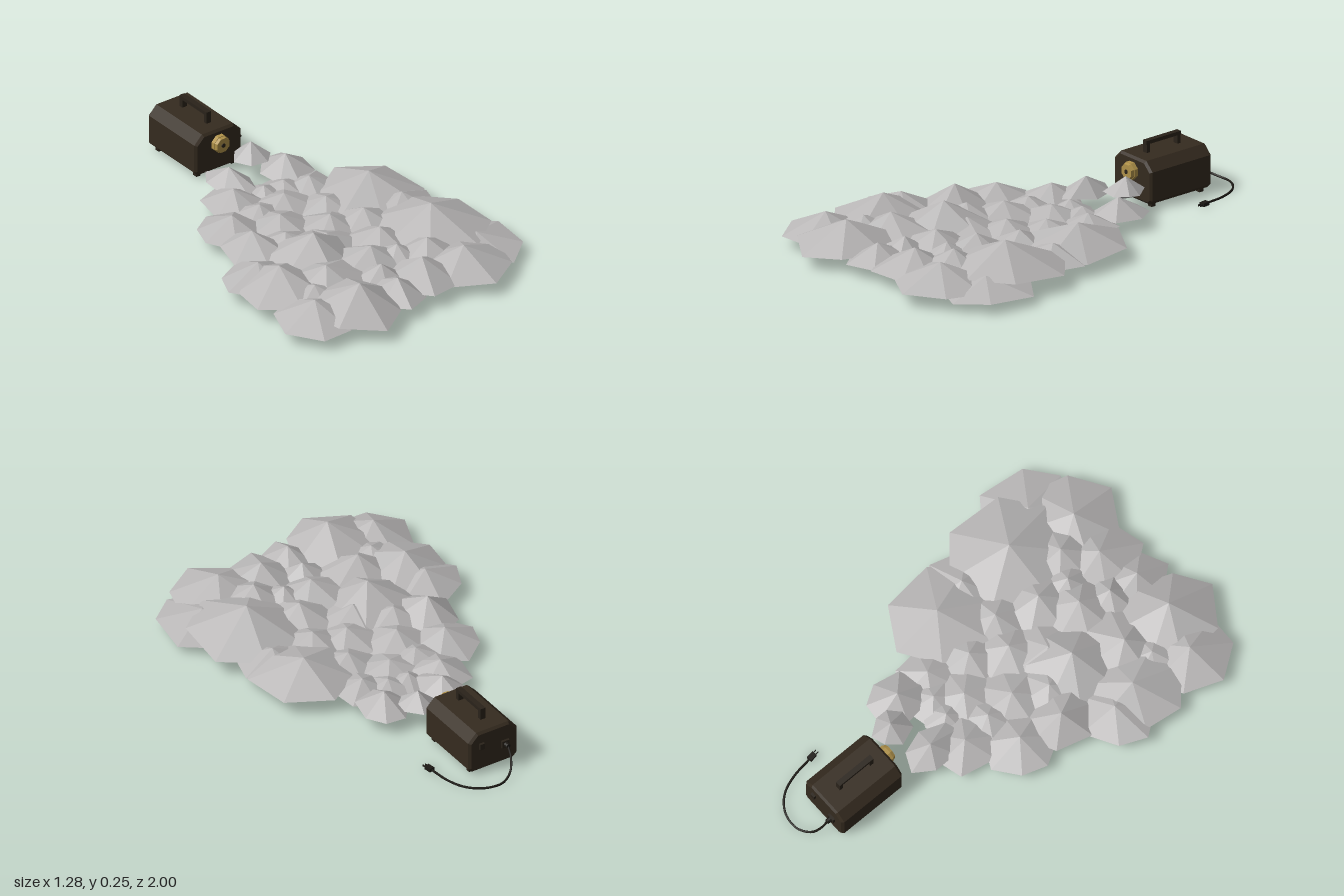
import * as THREE from 'three';

const mat = (name, color) => {
  const m = new THREE.MeshStandardMaterial({ color });
  m.name = name;
  return m;
};

function seeded(seed) {
  return () => {
    seed = (seed * 16807) % 2147483647;
    return seed / 2147483647;
  };
}

// One faceted fog puff: a peak, a jagged rim and a shallow pointed underside
function puffGeometry(rx, rz, y0, y1, degrees, rand) {
  const n = 7, h = y1 - y0, rim = [];
  for (let k = 0; k < n; k++) {
    const a = THREE.MathUtils.degToRad(degrees) + ((k + (k ? rand() - 0.5 : 0) * 0.35) / n) * Math.PI * 2;
    const r = k ? 0.9 + rand() * 0.12 : 1.04;
    rim.push([Math.cos(a) * r, y0 + h * (0.27 + rand() * 0.16), Math.sin(a) * r]);
  }
  // fit the rim to its exact width and depth
  for (const [axis, r] of [[0, rx], [2, rz]]) {
    const v = rim.map((p) => p[axis]);
    const lo = Math.min(...v), hi = Math.max(...v);
    for (const p of rim) p[axis] = ((p[axis] - lo) / (hi - lo) * 2 - 1) * r;
  }
  const peak = [(rand() - 0.5) * rx * 0.15, y1, (rand() - 0.5) * rz * 0.15];
  const base = [0, y0, 0], pos = [];
  rim.forEach((p, k) => {
    const q = rim[(k + 1) % n];
    pos.push(...peak, ...q, ...p, ...base, ...p, ...q);
  });
  const g = new THREE.BufferGeometry();
  g.setAttribute('position', new THREE.Float32BufferAttribute(pos, 3));
  g.computeVertexNormals();
  return g;
}

// Housing with wide top chamfers, small bottom chamfers and bevelled ends
function housingGeometry(w, y0, y1, top, bottom, depth, bevel) {
  const x = w - bevel, lo = y0 + bevel, hi = y1 - bevel;
  const s = new THREE.Shape();
  s.moveTo(-x + bottom, lo);
  s.lineTo(x - bottom, lo);
  s.lineTo(x, lo + bottom);
  s.lineTo(x, hi - top);
  s.lineTo(x - top, hi);
  s.lineTo(-x + top, hi);
  s.lineTo(-x, hi - top);
  s.lineTo(-x, lo + bottom);
  s.closePath();
  return new THREE.ExtrudeGeometry(s, {
    depth: depth - 2 * bevel, bevelEnabled: true, bevelSize: bevel, bevelThickness: bevel, bevelSegments: 1,
  }).translate(0, 0, -depth / 2 + bevel);
}

export function createModel() {
  const model = new THREE.Group();
  model.name = 'fogMachineWithFog';
  const fogMat = mat('fog grey', 0xb9b7b7);
  const bodyMat = mat('housing brown', 0x352b1f);
  const darkMat = mat('dark trim', 0x2a231a);
  const cordMat = mat('cord black', 0x1c1914);
  const brassMat = mat('brass', 0xb0924a);

  const add = (parent, name, geo, material, x = 0, y = 0, z = 0) => {
    const m = new THREE.Mesh(geo, material);
    m.name = name;
    m.position.set(x, y, z);
    parent.add(m);
    return m;
  };
  const box = (w, h, d) => new THREE.BoxGeometry(w, h, d);
  const tubeZ = (r1, r2, len, sides) => {
    const g = new THREE.CylinderGeometry(r1, r2, len, sides).rotateY(Math.PI / sides).rotateX(Math.PI / 2).toNonIndexed();
    g.computeVertexNormals();
    return g;
  };

  // Fog bank, outer puffs: x, z, half width, half depth, peak height, direction of the longest point
  const fog = new THREE.Group();
  fog.name = 'fogBank';
  model.add(fog);
  const outer = [
    [-0.28, 0.77, 0.2, 0.23, 0.175, 90], [-0.47, 0.72, 0.17, 0.18, 0.14, 170],
    [-0.44, 0.45, 0.18, 0.22, 0.16, 160], [-0.46, 0.33, 0.17, 0.17, 0.13, 172],
    [-0.33, 0.14, 0.14, 0.16, 0.15, 165], [-0.3, -0.07, 0.15, 0.155, 0.12, 268],
    [-0.16, -0.23, 0.125, 0.14, 0.115, 225], [-0.08, -0.355, 0.09, 0.135, 0.135, 255],
    [0.08, -0.435, 0.08, 0.085, 0.165, 285], [0.18, -0.32, 0.11, 0.125, 0.13, 300],
    [0.18, -0.15, 0.11, 0.13, 0.1, 320], [0.33, 0.05, 0.21, 0.24, 0.155, 270],
    [0.34, 0.44, 0.25, 0.26, 0.185, 335], [0.46, 0.63, 0.18, 0.21, 0.1, 334],
    [0.31, 0.76, 0.2, 0.2, 0.145, 88], [0.09, 0.73, 0.16, 0.17, 0.145, 110],
    [-0.07, 0.77, 0.12, 0.15, 0.13, 105], [0.38, 0.22, 0.16, 0.16, 0.12, 345],
  ];
  // Inner puffs: x, z, radius, peak height
  const inner = [
    [0.03, 0.18, 0.15, 0.115], [-0.13, 0.05, 0.16, 0.115], [0, -0.1, 0.15, 0.1],
    [-0.01, -0.21, 0.1, 0.09], [-0.17, 0.33, 0.19, 0.175], [-0.25, 0.53, 0.19, 0.15],
    [-0.02, 0.5, 0.17, 0.14], [0.11, 0.4, 0.16, 0.135], [0.18, 0.22, 0.15, 0.12],
    [0.13, 0.02, 0.15, 0.105], [-0.06, 0.64, 0.12, 0.13], [0.21, 0.6, 0.16, 0.145],
    [0.11, 0.55, 0.14, 0.125], [-0.2, 0.19, 0.16, 0.12], [-0.13, -0.09, 0.14, 0.1],
    [0.08, -0.2, 0.12, 0.09], [-0.37, 0.6, 0.16, 0.12], [-0.06, 0.28, 0.16, 0.12],
  ].map(([x, z, r, h], i) => [x, z, r, r, h, i * 77]);
  const rand = seeded(4711);
  for (const [x, z, rx, rz, h, degrees] of [...outer, ...inner]) {
    const y0 = 0.01 + Math.max(0, -z - 0.3) * 0.4;
    add(fog, 'fogPuff', puffGeometry(rx, rz, y0, h, degrees, rand), fogMat, x, 0, z);
  }

  // Housing
  const machine = new THREE.Group();
  machine.name = 'machine';
  model.add(machine);
  add(machine, 'housing', housingGeometry(0.12, 0.014, 0.201, 0.034, 0.012, 0.332, 0.01), bodyMat, 0, 0, -0.71);
  for (const x of [-0.09, 0.09])
    for (const z of [-0.575, -0.835])
      add(machine, 'foot', box(0.022, 0.015, 0.022), darkMat, x, 0.0075, z);

  // Carrying handle
  add(machine, 'handleGrip', box(0.024, 0.016, 0.185), darkMat, 0, 0.246, -0.705);
  for (const z of [-0.622, -0.788])
    add(machine, 'handlePost', box(0.024, 0.046, 0.018), darkMat, 0, 0.221, z);

  // Brass nozzle
  add(machine, 'nozzleFlange', tubeZ(0.04, 0.04, 0.02, 8), brassMat, 0, 0.14, -0.535);
  add(machine, 'nozzleTip', tubeZ(0.034, 0.038, 0.014, 8), brassMat, 0, 0.14, -0.519);
  add(machine, 'nozzleOpening', tubeZ(0.01, 0.01, 0.003, 8), darkMat, 0, 0.14, -0.511);

  // Rear switch and cord socket
  add(machine, 'switch', box(0.022, 0.028, 0.014), darkMat, 0.06, 0.135, -0.88);
  add(machine, 'socketPlate', box(0.036, 0.034, 0.014), darkMat, -0.055, 0.105, -0.88);
  add(machine, 'cordRelief', tubeZ(0.013, 0.01, 0.028, 8), cordMat, -0.055, 0.105, -0.892);

  // Power cord and plug
  const path = new THREE.CatmullRomCurve3([
    [-0.055, 0.105, -0.9], [-0.05, 0.07, -0.93], [-0.025, 0.025, -0.965],
    [0.03, 0.006, -0.994], [0.09, 0.006, -0.994], [0.14, 0.006, -0.972],
    [0.185, 0.006, -0.925], [0.214, 0.006, -0.85], [0.228, 0.008, -0.755],
  ].map((p) => new THREE.Vector3(...p)));
  add(machine, 'cord', new THREE.TubeGeometry(path, 28, 0.005, 6), cordMat);
  const plug = new THREE.Group();
  plug.name = 'plug';
  plug.position.set(0.23, 0.009, -0.742);
  plug.rotation.y = 0.15;
  machine.add(plug);
  add(plug, 'plugBody', box(0.024, 0.016, 0.034), cordMat);
  for (const x of [-0.006, 0.006])
    add(plug, 'plugProng', box(0.003, 0.008, 0.018), cordMat, x, 0, 0.024);

  return model;
}
